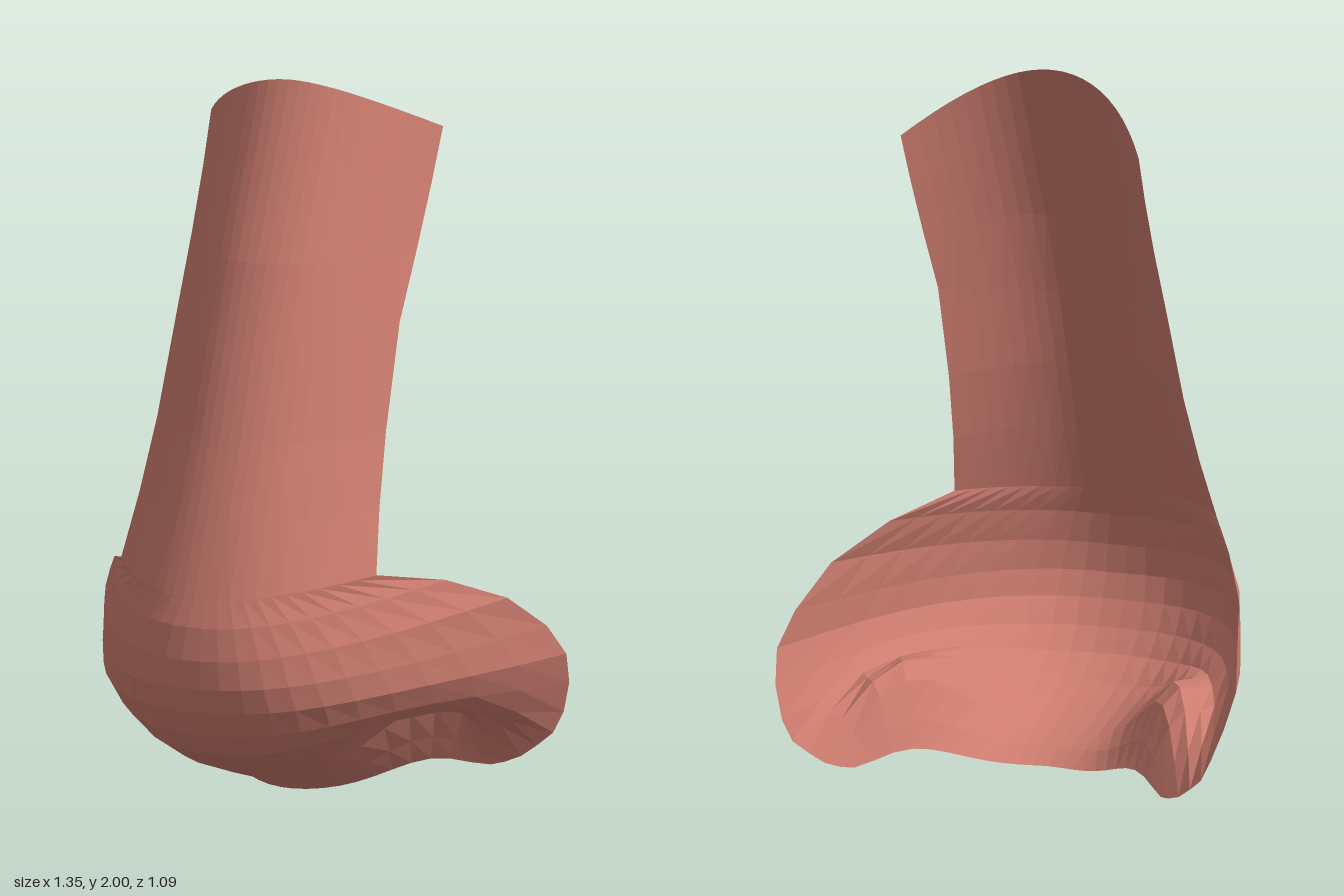
import * as THREE from 'three';

const COLUMNS = 22; // facets across the whole width

// Each row is one arched cross-section, from the middle line to the open edge:
// [middle y, middle z, edge x, edge y, edge z, arch power, nostril lift]
const bridgeRows = [
  [2.0, -0.08, 0.35, 1.85, -0.35, 2.2, 0],
  [1.78, 0.025, 0.345, 1.7, -0.28, 2.2, 0],
  [1.52, 0.15, 0.34, 1.53, -0.19, 2.2, 0],
  [1.26, 0.255, 0.335, 1.34, -0.08, 2.2, 0],
  [1.04, 0.34, 0.345, 1.05, 0.04, 2.2, 0],
  [0.84, 0.42, 0.362, 0.85, 0.125, 2.25, 0],
  [0.63, 0.5, 0.385, 0.675, 0.2, 2.3, 0],
];
const tipRows = [
  bridgeRows[bridgeRows.length - 1],
  [0.55, 0.53, 0.5, 0.635, -0.02, 2.35, 0],
  [0.46, 0.545, 0.6, 0.56, -0.22, 2.4, 0],
  [0.38, 0.543, 0.65, 0.46, -0.38, 2.5, 0],
  [0.31, 0.52, 0.675, 0.37, -0.46, 2.5, 0.01],
  [0.24, 0.48, 0.66, 0.28, -0.515, 2.4, 0.03],
  [0.18, 0.425, 0.63, 0.19, -0.545, 2.3, 0.07],
];
const baseRows = [
  tipRows[tipRows.length - 1],
  [0.125, 0.32, 0.6, 0.13, -0.54, 2.2, 0.14],
  [0.09, 0.2, 0.56, 0.095, -0.52, 2.1, 0.19],
  [0.06, 0.08, 0.52, 0.065, -0.5, 2.0, 0.18],
  [0.035, -0.03, 0.48, 0.05, -0.475, 1.8, 0.1],
  [0.0, -0.11, 0.45, 0.045, -0.45, 1.6, 0.05],
];

// Point on a row; s runs from -1 (right edge) to 1 (left edge)
function rowPoint([my, mz, ex, ey, ez, power, lift], s) {
  const a = Math.abs(s);
  const pocket = Math.pow(Math.max(0, Math.sin(Math.PI * a * a)), 1.5);
  return [
    ex * s,
    my + (ey - my) * Math.pow(a, 1.9) + lift * pocket,
    mz + (ez - mz) * Math.pow(a, power),
  ];
}

// Open sheet through a list of rows
function sheet(name, rows, material) {
  const positions = [];
  const indices = [];
  rows.forEach((row, r) => {
    for (let c = 0; c <= COLUMNS; c++) {
      positions.push(...rowPoint(row, (2 * c) / COLUMNS - 1));
      if (r === 0 || c === 0) continue;
      const d = r * (COLUMNS + 1) + c;
      const b = d - COLUMNS - 1;
      // mirror the diagonals about the middle line
      if (c <= COLUMNS / 2) indices.push(b - 1, d - 1, b, d - 1, d, b);
      else indices.push(b - 1, d - 1, d, b - 1, d, b);
    }
  });
  const geometry = new THREE.BufferGeometry();
  geometry.setAttribute('position', new THREE.Float32BufferAttribute(positions, 3));
  geometry.setIndex(indices);
  geometry.computeVertexNormals();
  const mesh = new THREE.Mesh(geometry, material);
  mesh.name = name;
  return mesh;
}

export function createModel() {
  const skin = new THREE.MeshStandardMaterial({
    color: 0xcc7c6e,
    flatShading: true,
    side: THREE.DoubleSide,
  });
  skin.name = 'skin';

  const nose = new THREE.Group();
  nose.name = 'nose';
  nose.add(
    sheet('bridge', bridgeRows, skin),
    sheet('tipAndWings', tipRows, skin),
    sheet('nostrilBase', baseRows, skin),
  );
  return nose;
}
